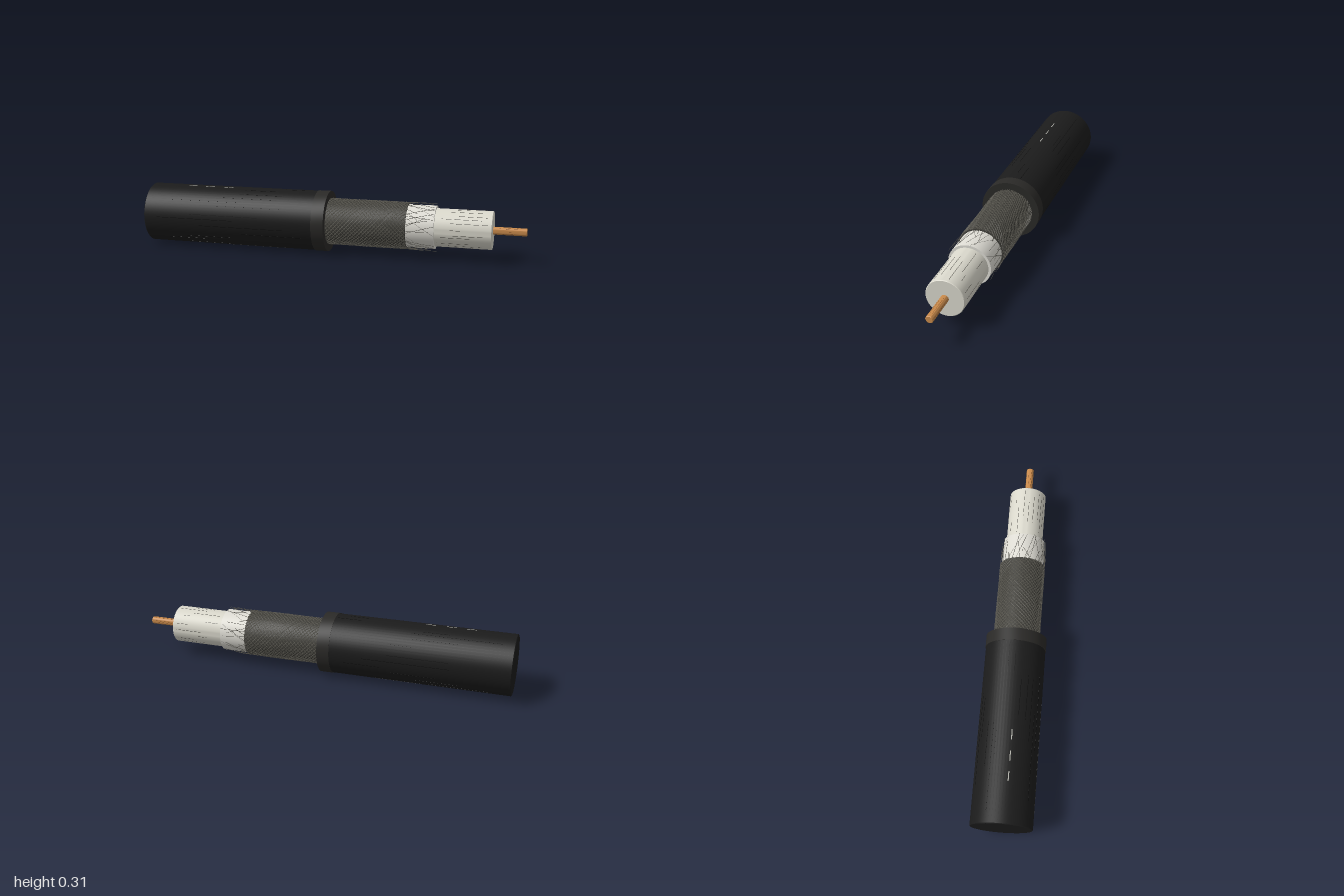
import * as THREE from 'three';
import { toCreasedNormals, mergeGeometries } from 'three/addons/utils/BufferGeometryUtils.js';

const mat = (color) => new THREE.MeshStandardMaterial({ color });

// Small seeded generator for irregular scratches and frayed wires
let seed = 7;
const rand = (a = 0, b = 1) => {
  seed = (seed * 16807) % 2147483647;
  return a + (b - a) * (seed / 2147483647);
};

// Point at distance x along the cable, radius r, angle a (0 = top, positive toward +z)
const polar = (x, r, a) => new THREE.Vector3(x, r * Math.cos(a), r * Math.sin(a));

// Turned body along x from [x, radius] pairs
function turned(profile, sides = 64) {
  const g = new THREE.LatheGeometry(profile.map(([x, r]) => new THREE.Vector2(r, x)), sides);
  g.rotateZ(-Math.PI / 2);
  return toCreasedNormals(g, 0.6);
}

// Closed rod with a small bevel at both ends
const rod = (x0, x1, r, b) =>
  turned([[x0, 0], [x0, r - b], [x0 + b, r], [x1 - b, r], [x1, r - b], [x1, 0]]);

// Open-ended sleeve with wall thickness
const sleeve = (x0, x1, rIn, rOut) =>
  turned([[x0, rIn], [x0, rOut], [x1, rOut], [x1, rIn], [x0, rIn]]);

// Thin wire through points
const wire = (points, r, segments) =>
  new THREE.TubeGeometry(new THREE.CatmullRomCurve3(points), segments, r, 4);

// Thin raised strip lying on a round surface
function strip(x, len, r, a, width, height = 0.0015) {
  const g = new THREE.BoxGeometry(len, height, width);
  g.translate(x + len / 2, r, 0);
  return g.rotateX(a);
}

// Random lengthwise streaks around a round surface
function streaks(count, x0, x1, r, maxLen, width) {
  const list = [];
  for (let i = 0; i < count; i++) {
    const len = rand(0.2, 1) * maxLen;
    list.push(strip(rand(x0, x1 - len), len, r, (i + rand(0, 0.7)) / count * Math.PI * 2, width));
  }
  return mergeGeometries(list);
}

export function createModel() {
  seed = 7;
  const cable = new THREE.Group();
  cable.name = 'cutawayCable';
  const add = (name, geometry, color) => {
    const mesh = new THREE.Mesh(geometry, mat(color));
    mesh.name = name;
    cable.add(mesh);
    return mesh;
  };

  // Outer jacket, its cut collar, fine streaks and pale printed dashes
  add('jacket', rod(-0.993, -0.02, 0.155, 0.003), 0x1b1b1b);
  add('jacketCollar', sleeve(-0.073, -0.008, 0.112, 0.1575), 0x2a2927);
  add('jacketStreaks', streaks(30, -0.98, -0.08, 0.1548, 0.5, 0.002), 0x0c0c0c);
  const dashes = [-0.79, -0.69, -0.585].map((x) => strip(x, 0.05, 0.155, 0.12, 0.005));
  add('jacketDashes', mergeGeometries(dashes), 0xb8b8b0);

  // Braided shield: dark core with two families of interlaced helical wires
  const x0 = -0.012, x1 = 0.405, count = 36, steps = 48;
  add('braidCore', sleeve(x0, x1, 0.1, 0.1165), 0x3c3b36);
  const braid = [];
  for (const dir of [-1, 1]) {
    for (let i = 0; i < count; i++) {
      const pts = [];
      for (let k = 0; k <= steps; k++) {
        const t = k / steps;
        const a = (i / count) * Math.PI * 2 + dir * t * Math.PI * 1.2;
        const r = 0.1185 + dir * 0.0016 * Math.cos(t * Math.PI * 24 + i * Math.PI);
        pts.push(polar(x0 + (x1 - x0) * t, r, a));
      }
      braid.push(wire(pts, 0.0021, steps));
    }
  }
  add('braidWires', mergeGeometries(braid), 0x5c5a52);

  // Loose wire ends fraying over the foil
  const frays = [];
  for (let i = 0; i < 44; i++) {
    const a = (i / 44) * Math.PI * 2 + rand(-0.06, 0.06);
    const len = rand(0.03, 0.15), twist = rand(-0.45, 0.45), lift = rand(0, 0.01);
    frays.push(wire([
      polar(x1 - 0.03, 0.119, a - twist * 0.3),
      polar(x1 + len * 0.4, 0.117 + lift * 0.5, a + twist * 0.4),
      polar(x1 + len, 0.113 + lift, a + twist),
    ], 0.001, 8));
  }
  add('frayedWires', mergeGeometries(frays), 0x55534c);

  // Foil wrap with slanted overlap seams
  add('foil', sleeve(0.38, 0.547, 0.096, 0.11), 0xdedcd4);
  const seams = [];
  for (let i = 0; i < 7; i++) {
    const pts = [];
    for (let k = 0; k <= 8; k++) {
      pts.push(polar(0.39 + 0.155 * k / 8, 0.11, (i / 7) * Math.PI * 2 + k * 0.11));
    }
    seams.push(wire(pts, 0.001, 12));
  }
  add('foilSeams', mergeGeometries(seams), 0x8f8d86);

  // Pale insulating core with fine dark streaks
  add('insulator', rod(0.37, 0.832, 0.097, 0.003), 0xdad8cc);
  add('insulatorStreaks', streaks(24, 0.55, 0.82, 0.0967, 0.2, 0.0016), 0x4a4842);

  // Copper conductor with drawn grooves
  add('conductor', rod(0.8, 0.999, 0.0195, 0.003), 0xc98a4b);
  add('conductorGrooves', streaks(9, 0.835, 0.992, 0.019, 0.14, 0.001), 0x7a4a22);

  // Lay the cable on the ground, turned slightly toward the front
  cable.rotation.y = -0.0425;
  cable.position.set(0, 0.158, 0.02);
  const model = new THREE.Group();
  model.name = 'model';
  model.add(cable);
  return model;
}
